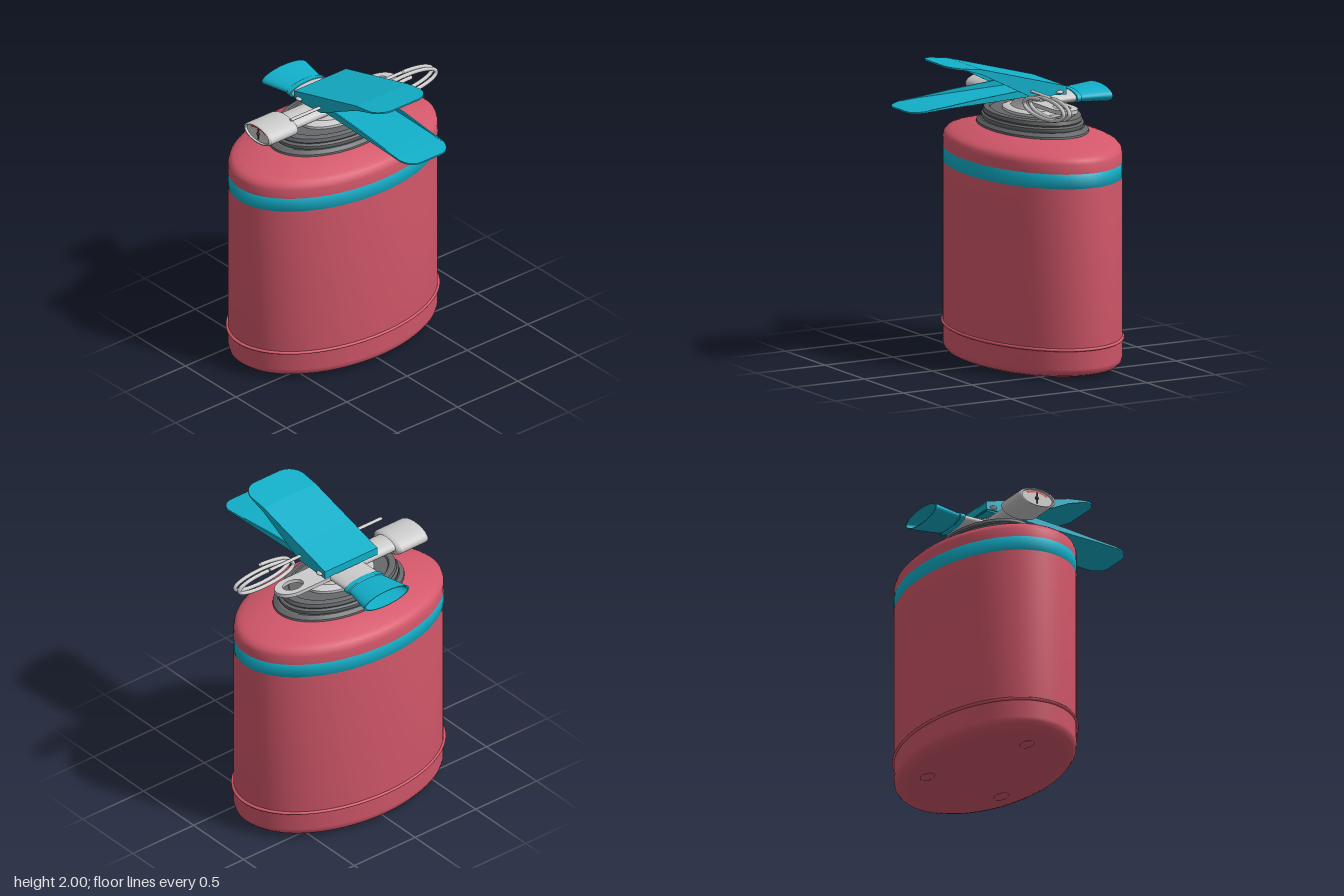
import * as THREE from 'three';
import { toCreasedNormals } from 'three/addons/utils/BufferGeometryUtils.js';

const CX = -0.235; // axis of the tank
const KZ = 1.565; // the tank is an ellipse, deeper than wide
const VY = 1.692; // height of the valve's horizontal axis

const mat = (color) => new THREE.MeshStandardMaterial({ color, side: THREE.DoubleSide });

export function createModel() {
  const model = new THREE.Group();
  const red = mat(0xd4586b), teal = mat(0x12b0ca), dark = mat(0x66686a), grey = mat(0xcccccc);
  const black = mat(0x333333);

  function add(name, geometry, material, x = 0, y = 0, z = 0) {
    const mesh = new THREE.Mesh(geometry, material);
    mesh.name = name;
    mesh.position.set(x, y, z);
    model.add(mesh);
    return mesh;
  }
  const lathe = (points, segments = 72) =>
    toCreasedNormals(new THREE.LatheGeometry(points.map(([r, y]) => new THREE.Vector2(r, y)), segments), 0.6);
  // Lathe around the tank's axis, stretched in z
  const oval = (name, points, material, kz = KZ) =>
    add(name, lathe(points).scale(1, 1, kz), material, CX);

  // Tank with rounded foot and shoulder
  oval('tank', [[0, 0.012], [0.40, 0.012], [0.44, 0.018], [0.472, 0.034], [0.486, 0.055], [0.49, 0.08],
    [0.49, 1.25]], red);
  oval('band', [[0.49, 1.25], [0.491, 1.252], [0.491, 1.343], [0.49, 1.345]], teal);
  oval('shoulder', [[0.49, 1.345], [0.49, 1.405], [0.484, 1.43], [0.468, 1.449], [0.44, 1.463],
    [0.31, 1.517], [0.2, 1.53]], red);
  add('baseRing', new THREE.TorusGeometry(0.491, 0.01, 10, 96).rotateX(Math.PI / 2).scale(1, 1, KZ), red, CX, 0.205);

  // Three small feet
  for (let i = 0; i < 3; i++) {
    const a = (i * 2 * Math.PI) / 3;
    add('foot', new THREE.SphereGeometry(0.04, 16, 10).scale(1, 0.3, KZ), red,
      CX + 0.32 * Math.sin(a), 0.012, 0.32 * KZ * Math.cos(a));
  }

  // Stepped collar and the flange of the valve
  oval('collar', [[0.29, 1.505], [0.307, 1.518], [0.305, 1.53], [0.285, 1.55], [0.276, 1.55], [0.281, 1.56],
    [0.28, 1.575], [0.268, 1.585], [0.272, 1.595], [0.266, 1.618], [0.255, 1.625], [0.235, 1.625],
    [0.23, 1.615], [0, 1.615]], dark);
  oval('valveFlange', [[0.165, 1.612], [0.165, 1.632], [0.15, 1.64], [0.12, 1.645], [0.1, 1.68],
    [0.1, 1.735], [0.085, 1.745], [0, 1.745]], grey);
  oval('valveStem', [[0.055, 1.74], [0.055, 1.80], [0.045, 1.815], [0, 1.815]], grey);

  // Pipe and pressure gauge, facing forward (oval: x half width, y half height)
  const forward = (name, points, material, rx, ry) =>
    add(name, lathe(points, 48).rotateX(Math.PI / 2).scale(rx, ry, 1), material, CX, VY);
  forward('gaugePipe', [[1, 0], [1, 0.41]], grey, 0.09, 0.045);
  forward('gaugeHousing', [[0, 0.395], [0.94, 0.395], [1, 0.41], [1, 0.615], [0.96, 0.63], [0.87, 0.63],
    [0.85, 0.615], [0, 0.615]], grey, 0.135, 0.063);
  add('gaugeScale', new THREE.RingGeometry(0.58, 0.76, 24, 1, 0.6, Math.PI - 1.2).scale(0.135, 0.063, 1),
    mat(0xd0473f), CX, VY, 0.618);
  add('gaugeNeedle', new THREE.BoxGeometry(0.008, 0.075, 0.006), black, CX, VY, 0.62);
  add('gaugeHub', new THREE.SphereGeometry(0.012, 12, 8), black, CX, VY, 0.618);

  // Hanging lug at the back, with an oval hole
  const lug = new THREE.Shape();
  lug.moveTo(-0.087, 0);
  lug.lineTo(0.087, 0);
  lug.lineTo(0.087, 0.38);
  lug.absellipse(0, 0.38, 0.087, 0.13, 0, Math.PI);
  lug.closePath();
  const hole = new THREE.Path();
  hole.absellipse(0, 0.375, 0.05, 0.075, 0, 2 * Math.PI, true);
  lug.holes.push(hole);
  add('hangingLug', toCreasedNormals(new THREE.ExtrudeGeometry(lug,
    { depth: 0.026, bevelEnabled: false, curveSegments: 24 }).rotateX(-Math.PI / 2), 0.6), grey, CX, 1.678);

  // Side outlet and open nozzle, pointing to -x
  const sideways = (name, points, material) =>
    add(name, lathe(points, 48).rotateZ(Math.PI / 2).scale(1, 0.31, 1), material, 0, VY);
  sideways('outletPipe', [[0.14, 0.2], [0.14, 0.49]], grey);
  sideways('nozzleRing', [[0.13, 0.475], [0.152, 0.478], [0.152, 0.512], [0.14, 0.518]], teal);
  sideways('nozzle', [[0.14, 0.51], [0.185, 0.718], [0.172, 0.718], [0.12, 0.52], [0, 0.52]], teal);

  // Channel-shaped levers
  add('upperLever', channel(roundEnd([
    [-0.362, 1.80, -0.055, 0.215], [-0.095, 1.873, -0.116, 0.215], [0.255, 1.969, -0.034, 0.215],
    [0.37, 1.985, -0.013, 0.215]], 0.48, 1.999, -0.011)), teal);
  add('upperLeverBack', new THREE.BoxGeometry(0.012, 0.053, 0.42), teal, -0.355, 1.772);
  add('lowerLever', channel(roundEnd([
    [-0.34, 1.748, 0.04, 0.185], [-0.095, 1.75, 0.05, 0.185], [0.255, 1.74, 0.033, 0.185],
    [0.5, 1.733, 0.015, 0.185], [0.62, 1.726, 0.012, 0.185]], 0.738, 1.714, 0.01)), teal);

  // Pivot pin with rivet heads
  for (const s of [-1, 1]) {
    add('rivet', new THREE.SphereGeometry(1, 20, 12).scale(0.026, 0.012, 0.022), grey, -0.31, 1.765, s * 0.215);
  }

  // Safety pin running back into a double pull ring
  add('safetyPin', new THREE.CylinderGeometry(0.014, 0.014, 0.92, 16).rotateX(Math.PI / 2).scale(1, 0.6, 1),
    grey, -0.11, 1.79, -0.005);
  const coil = [];
  for (let i = 0; i <= 64; i++) {
    const a = (i / 64) * 4 * Math.PI;
    coil.push(new THREE.Vector3(-0.11 + (0.085 * i) / 64, 1.728 + 0.062 * Math.cos(a), -0.475 - 0.232 * Math.sin(a)));
  }
  add('pullRing', new THREE.TubeGeometry(new THREE.CatmullRomCurve3(coil), 160, 0.013, 10), grey);

  return model;
}

// Adds narrowing stations so that a lever ends in a round tip
function roundEnd(stations, xEnd, yEnd, h) {
  const [x0, y0, , w] = stations[stations.length - 1];
  const out = stations.slice();
  for (let i = 1; i <= 10; i++) {
    const a = (i / 10) * 1.5;
    const f = Math.sin(a);
    out.push([x0 + (xEnd - x0) * f, y0 + (yEnd - y0) * f, h, w * (0.45 + 0.55 * Math.cos(a))]);
  }
  return out;
}

// U-section swept along x; stations are [x, plate height, signed flange height, half width]
function channel(stations) {
  const t = 0.01;
  const up = stations[0][2] > 0;
  const rings = stations.map(([x, y, h, w]) => {
    const p = y + (up ? t : -t);
    const e = y + h;
    const n = w - t;
    return [[-w, y], [w, y], [w, e], [n, e], [n, p], [-n, p], [-n, e], [-w, e]].map(([z, v]) => [x, v, z]);
  });
  const pos = [];
  const quad = (a, b, c, d, flip) => {
    const order = flip === up ? [a, d, c, a, c, b] : [a, b, c, a, c, d];
    for (const v of order) pos.push(...v);
  };
  for (let i = 0; i < rings.length - 1; i++) {
    for (let k = 0; k < 8; k++) {
      const j = (k + 1) % 8;
      quad(rings[i][k], rings[i][j], rings[i + 1][j], rings[i + 1][k], true);
    }
  }
  // End caps
  for (const [ring, flip] of [[rings[0], false], [rings[rings.length - 1], true]]) {
    for (const [a, b, c, d] of [[0, 1, 4, 5], [1, 2, 3, 4], [5, 6, 7, 0]]) {
      quad(ring[a], ring[b], ring[c], ring[d], flip);
    }
  }
  const g = new THREE.BufferGeometry();
  g.setAttribute('position', new THREE.Float32BufferAttribute(pos, 3));
  g.computeVertexNormals();
  return g;
}
